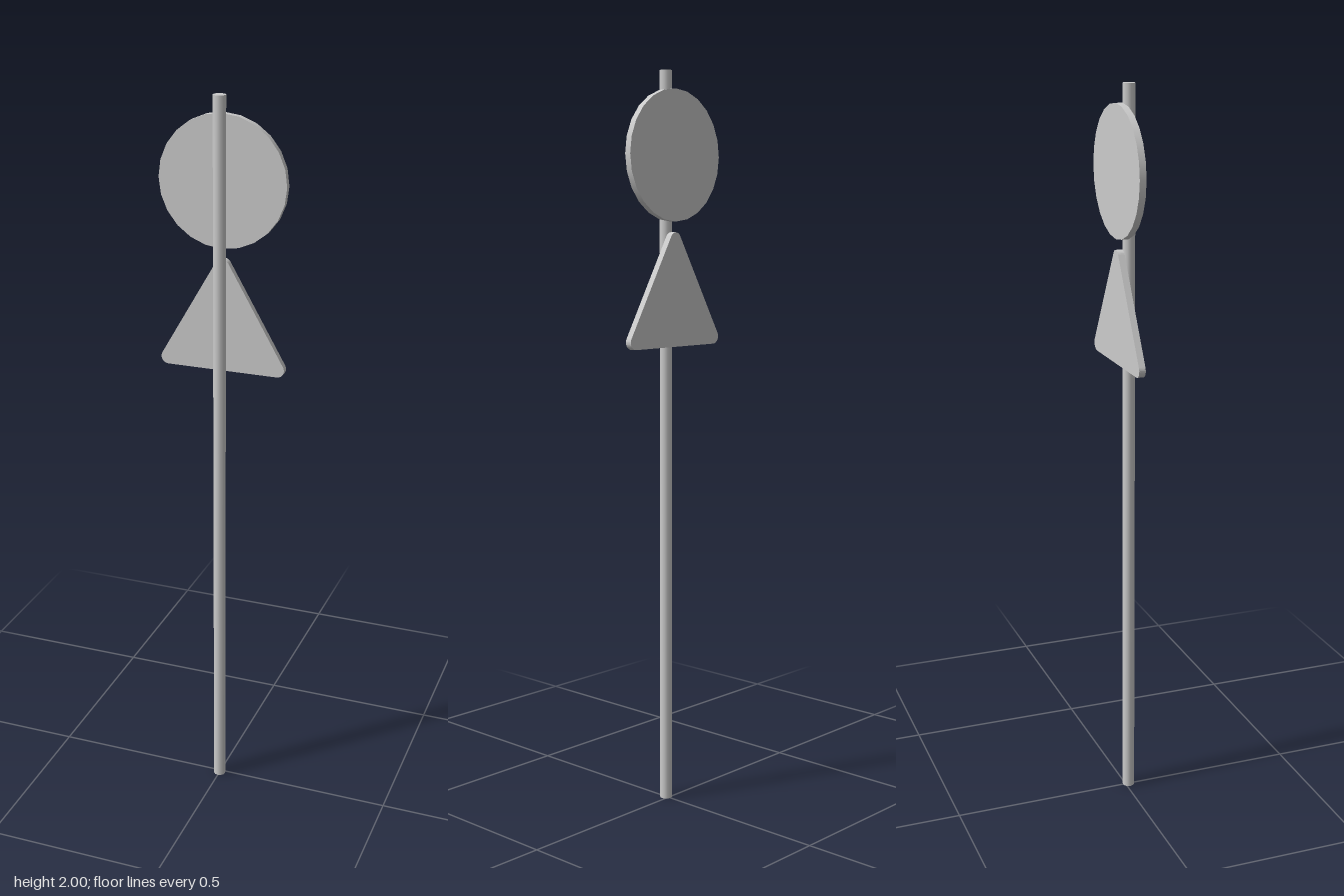
import * as THREE from 'three';

const PLATE_BACK = -0.027, PLATE_DEPTH = 0.018;

export function createModel() {
  const group = new THREE.Group();
  const material = new THREE.MeshStandardMaterial({ color: 0xcccccc });
  const add = (name, geometry, x, y, z) => {
    const mesh = new THREE.Mesh(geometry, material);
    mesh.name = name;
    mesh.position.set(x, y, z);
    group.add(mesh);
  };

  // Upright pole
  add('pole', new THREE.CylinderGeometry(0.017, 0.017, 2, 12), 0, 1, 0.009);

  // Round plate fixed to the back of the pole
  const disc = new THREE.CylinderGeometry(0.173, 0.173, PLATE_DEPTH, 24).rotateX(Math.PI / 2);
  add('roundSign', disc, 0, 1.778, PLATE_BACK + PLATE_DEPTH / 2);

  // Equilateral plate with rounded corners: one arc per corner, joined by straight edges
  const corner = 0.02, half = 0.173 - corner, third = Math.PI / 3;
  const outline = new THREE.Shape();
  outline.absarc(half, corner, corner, -Math.PI / 2, third / 2, false);
  outline.absarc(0, corner + half * Math.sqrt(3), corner, third / 2, third * 2.5, false);
  outline.absarc(-half, corner, corner, third * 2.5, third * 4.5, false);
  outline.closePath();
  const triangle = new THREE.ExtrudeGeometry(outline, {
    depth: PLATE_DEPTH, bevelEnabled: false, curveSegments: 5,
  });
  add('triangularSign', triangle, 0, 1.272, PLATE_BACK);

  return group;
}
